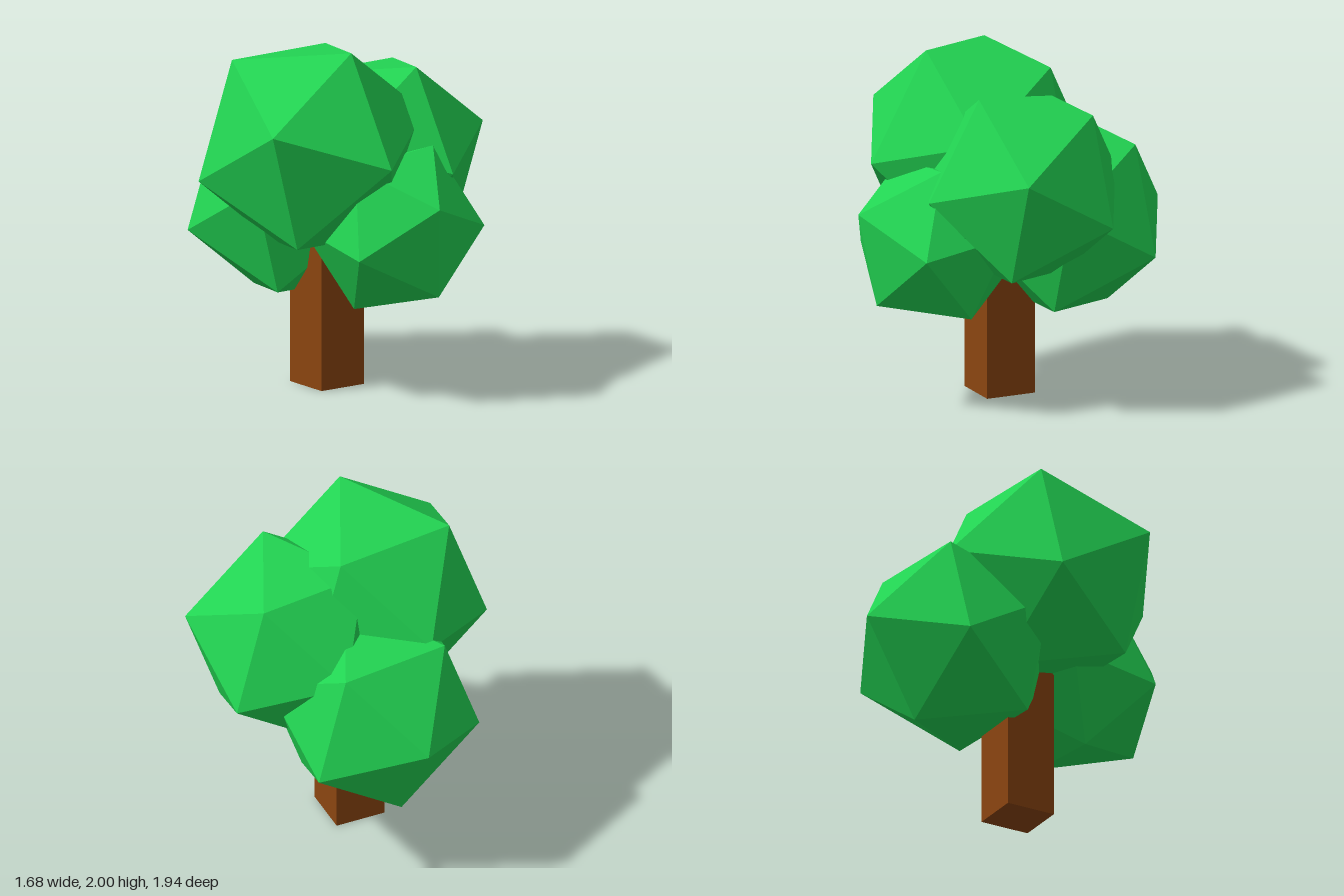
import * as THREE from 'three';

// Rotation that puts two neighbouring icosahedron corners along directions a and b
function cornerRotation(a, b) {
  const va = new THREE.Vector3(...a).normalize();
  const vb = new THREE.Vector3(...b).normalize();
  const y = va.clone().add(vb).normalize();
  const x = va.clone().sub(vb).normalize();
  const z = x.clone().cross(y);
  return new THREE.Quaternion().setFromRotationMatrix(new THREE.Matrix4().makeBasis(x, y, z));
}

export function createModel() {
  const tree = new THREE.Group();
  tree.name = 'tree';

  const bark = new THREE.MeshStandardMaterial({ color: 0x8b4510, flatShading: true });
  const leaves = new THREE.MeshStandardMaterial({ color: 0x22d352, flatShading: true });

  // Square trunk, running up into the foliage
  const trunk = new THREE.Mesh(new THREE.BoxGeometry(0.295, 1, 0.3), bark);
  trunk.position.set(-0.062, 0.5, 0.03);
  trunk.name = 'trunk';
  tree.add(trunk);

  // Foliage clumps: three share one tilt, the low front one has its own
  const tilt = cornerRotation([0.068, 0.878, 0.471], [0.5, 0.73, -0.485]);
  const frontTilt = cornerRotation([-0.026, 0.19, 0.475], [0.224, 0.459, 0.07]);
  const clumps = [
    ['foliageRight', 0.675, [-0.233, 1.407, 0.115], tilt],
    ['foliageLeft', 0.617, [0.285, 1.29, 0.058], tilt],
    ['foliageFront', 0.513, [0.066, 0.97, 0.49], frontTilt],
    ['foliageBack', 0.616, [-0.031, 0.988, -0.36], tilt],
  ];
  for (const [name, radius, position, rotation] of clumps) {
    const clump = new THREE.Mesh(new THREE.IcosahedronGeometry(radius, 0), leaves);
    clump.position.set(...position);
    clump.quaternion.copy(rotation);
    clump.name = name;
    tree.add(clump);
  }
  return tree;
}
